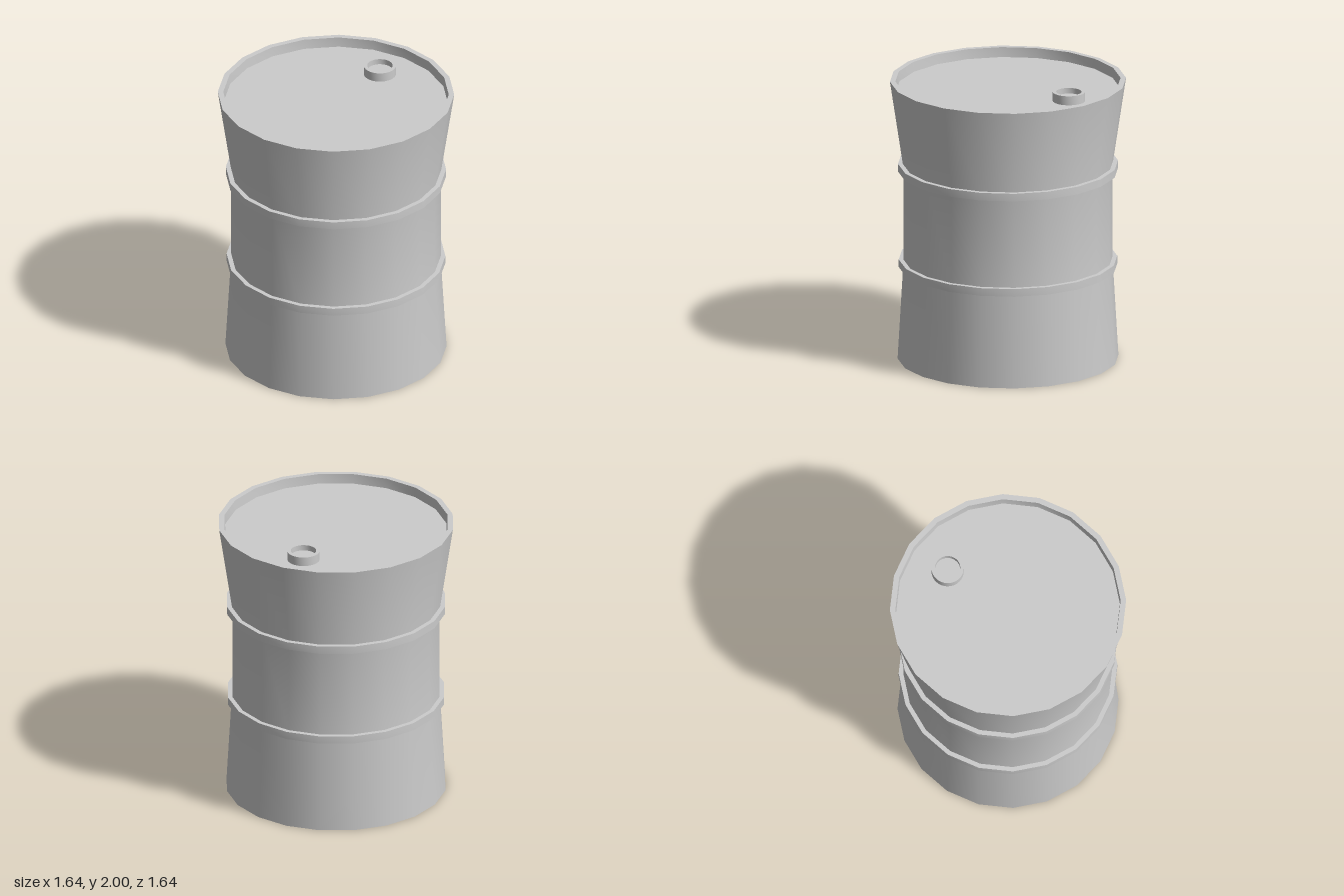
import * as THREE from 'three';
import { toCreasedNormals } from 'three/addons/utils/BufferGeometryUtils.js';

const SIDES = 20;

// Turned part from [radius, height] pairs, listed so the outer wall runs upwards
function turned(name, profile, sides = SIDES) {
  const points = profile.map(([r, y]) => new THREE.Vector2(r, y));
  const geometry = toCreasedNormals(new THREE.LatheGeometry(points, sides), 0.5);
  const mesh = new THREE.Mesh(geometry, new THREE.MeshStandardMaterial({ color: 0xcccccc }));
  mesh.name = name;
  return mesh;
}

export function createModel() {
  const barrel = new THREE.Group();
  barrel.name = 'barrel';

  // Waisted shell with recessed bottom and lid
  barrel.add(turned('shell', [
    [0, 0.05], [0.73, 0.05], [0.73, 0], [0.765, 0],
    [0.725, 0.69], [0.725, 1.38],
    [0.818, 2], [0.78, 2], [0.775, 1.93], [0, 1.93],
  ]));

  // Raised hoops round the waist
  for (const [name, r, y] of [['lowerHoop', 0.757, 0.66], ['upperHoop', 0.762, 1.35]]) {
    barrel.add(turned(name, [[0.7, y], [r, y], [r, y + 0.055], [0.7, y + 0.055]]));
  }

  // Filler neck near the back of the lid
  const neck = turned('fillerNeck', [
    [0.112, 1.92], [0.112, 1.995], [0.088, 1.995], [0.088, 1.955], [0, 1.955],
  ], 32);
  neck.position.z = -0.5;
  barrel.add(neck);

  return barrel;
}
